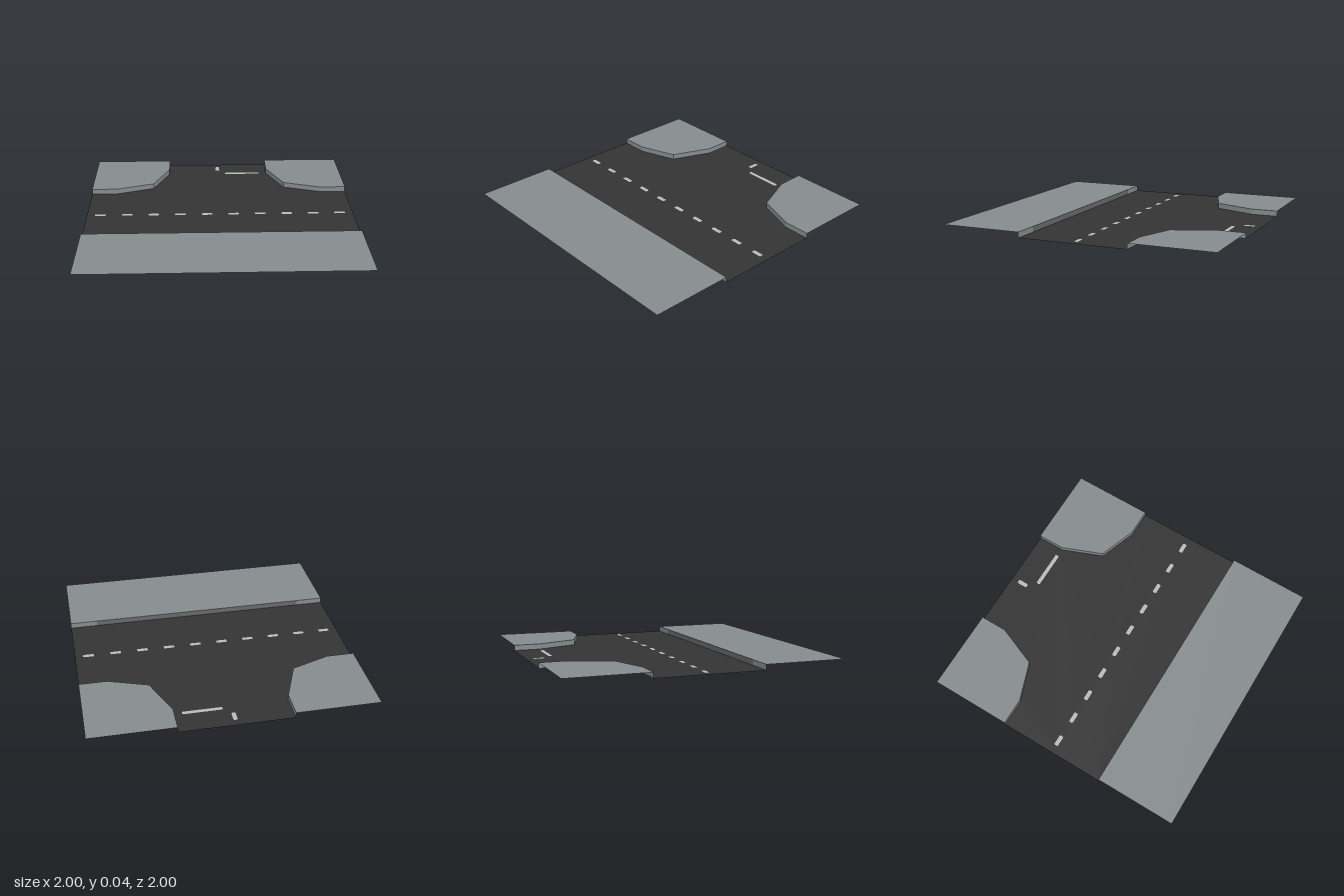
import * as THREE from 'three';

const CURB = 0.04;

export function createModel() {
  const model = new THREE.Group();
  model.name = 'roadJunction';

  const material = (name, color) => {
    const m = new THREE.MeshStandardMaterial({ color, side: THREE.DoubleSide });
    m.name = name;
    return m;
  };
  const asphalt = material('asphalt', 0x343434);
  const pavement = material('pavement', 0x858b8d);
  const darkKerb = material('darkKerb', 0x66686a);
  const paint = material('roadPaint', 0xb6babc);

  const add = (name, geometry, mat) => {
    const mesh = new THREE.Mesh(geometry, mat);
    mesh.name = name;
    model.add(mesh);
    return mesh;
  };
  // Points are [x, z] on the ground
  const toVectors = (points) => points.map(([x, z]) => new THREE.Vector2(x, -z));
  const flat = (name, shape, y, mat) => {
    const geometry = new THREE.ShapeGeometry(shape).rotateX(-Math.PI / 2);
    add(name, geometry, mat).position.y = y;
  };
  // Upright strip whose face looks to the right of the way from a to b
  const kerb = (name, [ax, az], [bx, bz], mat) => {
    const dx = bx - ax, dz = bz - az;
    const mesh = add(name, new THREE.PlaneGeometry(Math.hypot(dx, dz), CURB), mat);
    mesh.position.set((ax + bx) / 2, CURB / 2, (az + bz) / 2);
    mesh.rotation.y = Math.atan2(-dz, dx);
  };

  const leftEdge = [[-1, -0.4], [-0.8, -0.4], [-0.52, -0.5], [-0.4, -0.8], [-0.4, -1]];
  const rightEdge = leftEdge.map(([x, z]) => [-x, z]).reverse();

  // Carriageway, with the painted marks set into it
  const road = new THREE.Shape(toVectors([[-1, 0.4], [1, 0.4], ...[...rightEdge].reverse(), ...[...leftEdge].reverse()]));
  const mark = (name, x, z, w, d) => {
    const a = w / 2, b = d / 2, c = 0.006; // clipped corners
    const outline = toVectors([
      [x - a + c, z + b], [x + a - c, z + b], [x + a, z + b - c], [x + a, z - b + c],
      [x + a - c, z - b], [x - a + c, z - b], [x - a, z - b + c], [x - a, z + b - c],
    ]);
    road.holes.push(new THREE.Path(outline));
    flat(name, new THREE.Shape(outline), 0, paint);
  };
  for (let i = 0; i < 10; i++) mark('centreDash', -0.9 + i * 0.2, 0, 0.08, 0.03);
  mark('sideRoadDash', 0, -0.905, 0.03, 0.08);
  mark('stopLine', 0.2, -0.805, 0.28, 0.028);
  flat('road', road, 0, asphalt);

  // Corner pavements with their kerbs
  for (const [edge, corner] of [[leftEdge, [-1, -1]], [rightEdge, [1, -1]]]) {
    flat('cornerPavement', new THREE.Shape(toVectors([...edge, corner])), CURB, pavement);
    for (let i = 0; i + 1 < edge.length; i++) kerb('cornerKerb', edge[i], edge[i + 1], pavement);
  }

  // Straight pavement along the front
  flat('frontPavement', new THREE.Shape(toVectors([[-1, 1], [1, 1], [1, 0.4], [-1, 0.4]])), CURB, pavement);
  kerb('frontKerbEnd', [1, 0.4], [0.8, 0.4], pavement);
  kerb('frontKerbMiddle', [0.8, 0.4], [-0.8, 0.4], darkKerb);
  kerb('frontKerbEnd', [-0.8, 0.4], [-1, 0.4], pavement);

  return model;
}
